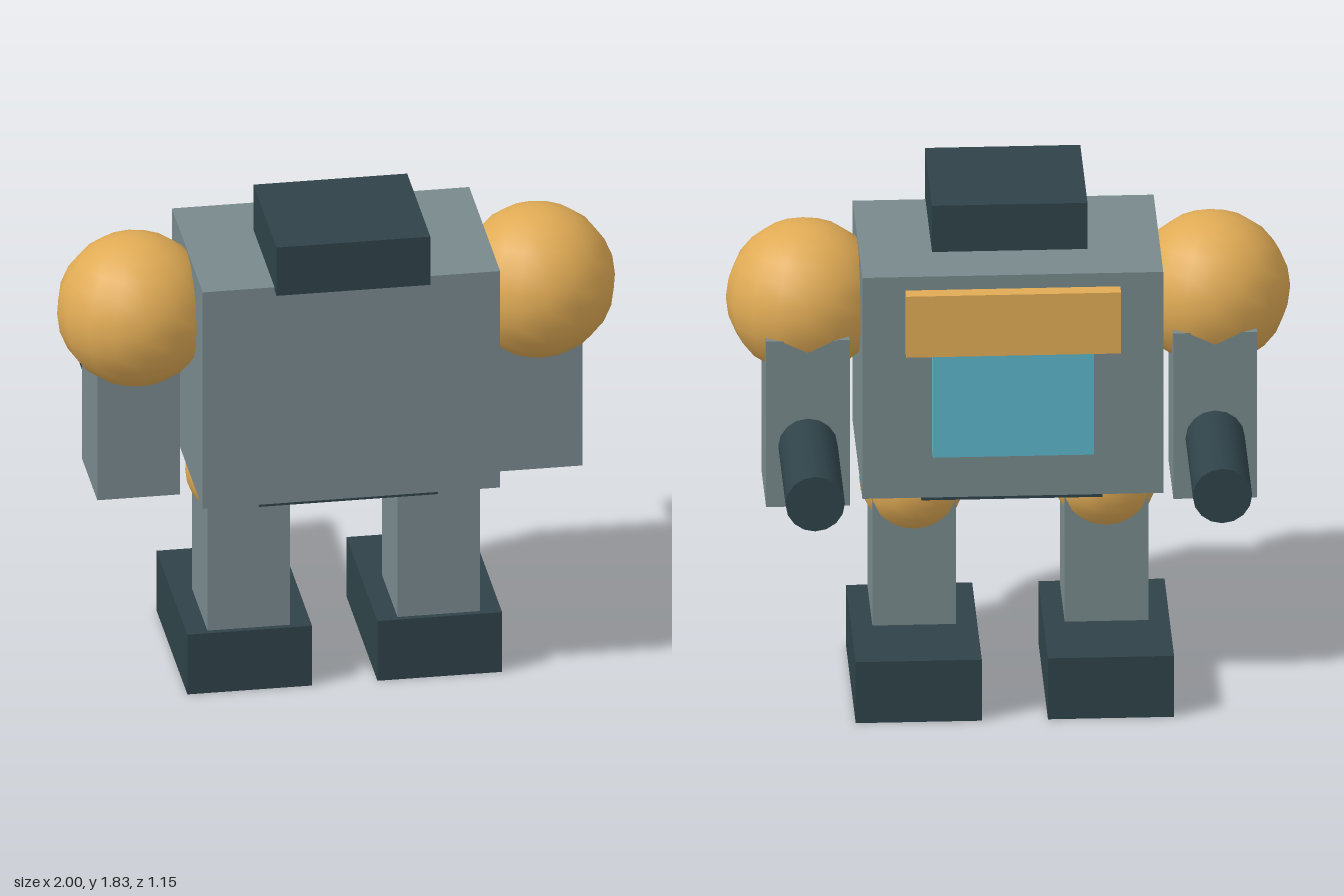
import * as THREE from 'three';

const material = (color) => new THREE.MeshStandardMaterial({ color });

export function createModel() {
  const model = new THREE.Group();
  model.name = 'robot';

  const grey = material(0x78898c);
  const dark = material(0x2f4349);
  const gold = material(0xe0ab55);
  const blue = material(0x5cb5ca);

  function add(parent, name, geometry, mat, x, y, z) {
    const mesh = new THREE.Mesh(geometry, mat);
    mesh.name = name;
    mesh.position.set(x, y, z);
    parent.add(mesh);
    return mesh;
  }

  // Box given by its lower and upper limits on each axis
  function box(parent, name, mat, [x0, x1], [y0, y1], [z0, z1]) {
    const geometry = new THREE.BoxGeometry(x1 - x0, y1 - y0, z1 - z0);
    return add(parent, name, geometry, mat, (x0 + x1) / 2, (y0 + y1) / 2, (z0 + z1) / 2);
  }

  const ball = (radius) => new THREE.SphereGeometry(radius, 16, 12);

  // Body
  box(model, 'torso', grey, [-0.532, 0.532], [0.8, 1.652], [-0.15, 0.53]);
  box(model, 'head', dark, [-0.275, 0.275], [1.64, 1.83], [0.065, 0.575]);
  box(model, 'pelvis', dark, [-0.32, 0.32], [0.76, 0.9], [-0.083, 0.467]);

  // Panels on the back
  box(model, 'backBar', gold, [-0.38, 0.38], [1.365, 1.6], [-0.205, -0.1]);
  box(model, 'backWindow', blue, [-0.285, 0.285], [0.975, 1.365], [-0.2, -0.1]);

  // Limbs, mirrored left and right
  for (const [side, s] of [['left', 1], ['right', -1]]) {
    const arm = new THREE.Group();
    arm.name = side + 'Arm';
    model.add(arm);
    const ax = s * 0.72;
    add(arm, 'shoulder', ball(0.278), gold, ax, 1.44, 0.19);
    box(arm, 'upperArm', grey, [ax - 0.148, ax + 0.148], [0.737, 1.375], [-0.062, 0.277]);
    const cannon = new THREE.CylinderGeometry(0.105, 0.105, 0.575, 16);
    cannon.rotateX(Math.PI / 2);
    add(arm, 'cannon', cannon, dark, ax, 0.97, -0.2875);

    const leg = new THREE.Group();
    leg.name = side + 'Leg';
    model.add(leg);
    const lx = s * 0.34;
    add(leg, 'hip', ball(0.19), gold, lx, 0.76, 0.13);
    box(leg, 'shin', grey, [lx - 0.148, lx + 0.148], [0.2, 0.85], [0.022, 0.362]);
    box(leg, 'foot', dark, [lx - 0.223, lx + 0.223], [0, 0.235], [-0.297, 0.383]);
  }

  return model;
}
